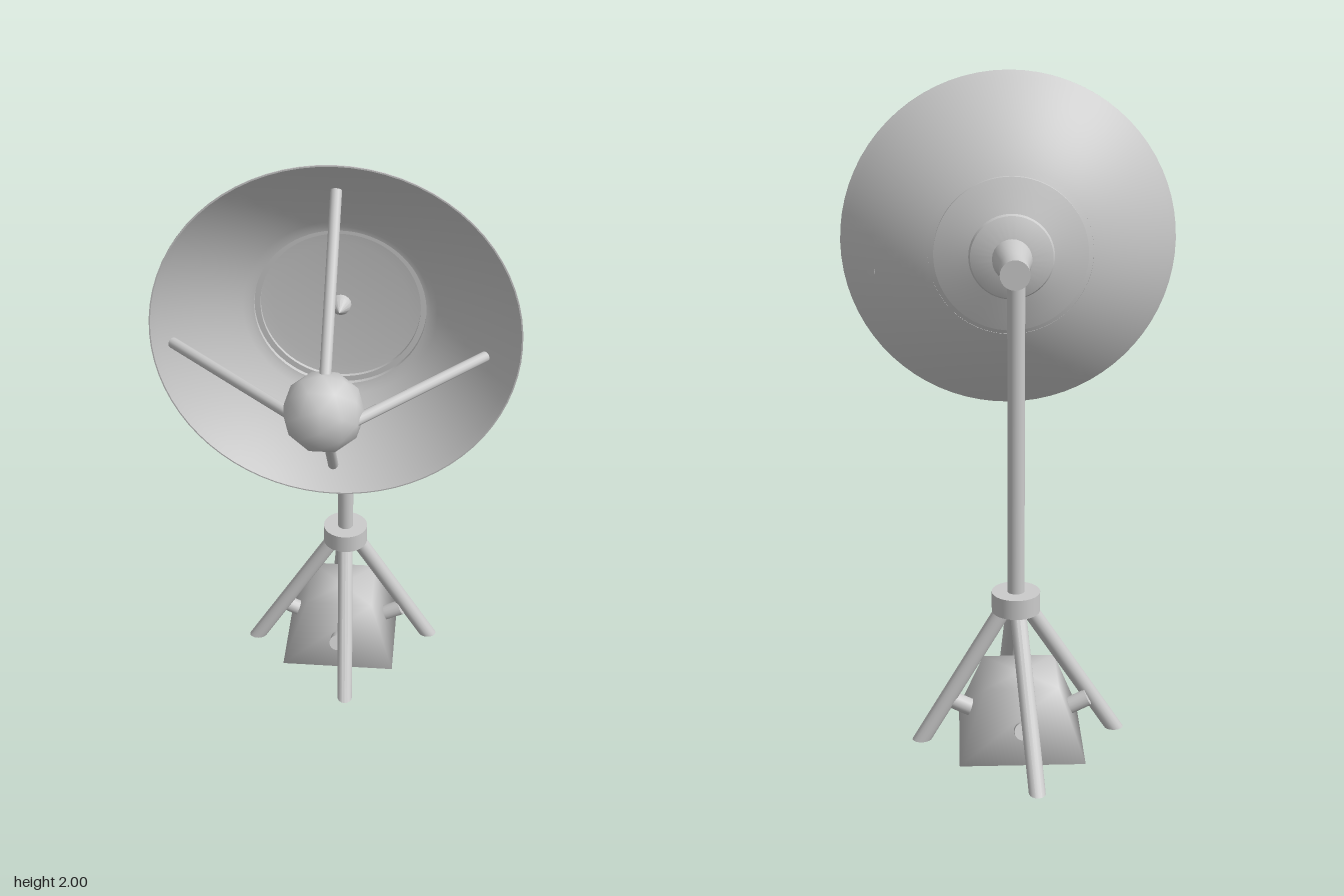
import * as THREE from 'three';
import { mergeVertices, toCreasedNormals } from 'three/addons/utils/BufferGeometryUtils.js';

const grey = new THREE.MeshStandardMaterial({ color: 0xcccccc });
const V = (x, y, z) => new THREE.Vector3(x, y, z);
const DISH_Y = 1.472;
const POLE = V(-0.005, 0, -0.248);

function add(parent, name, geometry, material = grey) {
  const mesh = new THREE.Mesh(geometry, material);
  mesh.name = name;
  parent.add(mesh);
  return mesh;
}

// Round bar between two points
function bar(parent, name, a, b, radius, sides = 16) {
  const mesh = add(parent, name, new THREE.CylinderGeometry(radius, radius, a.distanceTo(b), sides));
  mesh.position.copy(a).lerp(b, 0.5);
  mesh.quaternion.setFromUnitVectors(V(0, 1, 0), b.clone().sub(a).normalize());
  return mesh;
}

// Turned part lying along z, from [radius, z] pairs
function turned(parent, name, profile, segments) {
  const points = profile.map(([r, z]) => new THREE.Vector2(r, z));
  const geometry = toCreasedNormals(new THREE.LatheGeometry(points, segments), 0.45);
  const mesh = add(parent, name, geometry.rotateX(Math.PI / 2));
  mesh.position.y = DISH_Y;
  return mesh;
}

// Leg with level ends, leaning out from the collar to a foot on the ground
function leg(parent, name, footX, footZ) {
  const height = 0.43, dx = footX - POLE.x, dz = footZ - POLE.z;
  const reach = Math.hypot(dx, dz);
  const geometry = new THREE.CylinderGeometry(0.025, 0.025, height, 16);
  const p = geometry.attributes.position;
  for (let i = 0; i < p.count; i++) {
    const down = 0.5 - p.getY(i) / height;
    p.setX(i, p.getX(i) * 1.2 + THREE.MathUtils.lerp(0.035, reach, down));
  }
  geometry.computeVertexNormals();
  const mesh = add(parent, name, toCreasedNormals(geometry, 0.6));
  mesh.position.set(POLE.x, height / 2, POLE.z);
  mesh.rotation.y = Math.atan2(-dz, dx);
}

export function createModel() {
  const model = new THREE.Group();
  model.name = 'dishAntenna';

  // Reflector: stepped hub behind, parabolic shell, recessed disc inside
  const shell = [];
  for (let i = 0; i <= 14; i++) {
    const r = THREE.MathUtils.lerp(0.235, 0.528, i / 14);
    shell.push([r, 0.893 * r * r - 0.032]);
  }
  const inner = [];
  for (let i = 0; i <= 14; i++) {
    const r = THREE.MathUtils.lerp(0.524, 0.265, i / 14);
    inner.push([r, 0.893 * r * r - 0.024]);
  }
  turned(model, 'dish', [
    [0, -0.066], [0.07, -0.066], [0.125, -0.044], [0.13, -0.034], [0.2, -0.012], [0.235, 0],
    ...shell, [0.528, 0.221], ...inner,
    [0.252, 0.036], [0.252, 0.022], [0.235, 0.022], [0.235, 0.01], [0.2, 0.006], [0, 0.004],
  ], 72);
  turned(model, 'dishCentreCone', [[0.032, 0], [0.028, 0.02], [0, 0.06]], 16);

  // Arm carrying the dish
  turned(model, 'mountingArm', [
    [0, -0.295], [0.044, -0.295], [0.044, -0.2], [0.06, -0.095], [0.06, -0.06], [0, -0.06],
  ], 24);

  // Receiver ball and its four struts
  const ball = add(model, 'receiverBall', new THREE.IcosahedronGeometry(0.112, 1));
  ball.position.set(-0.003, 1.427, 0.525);
  [
    [V(0, 1.48, 0.537), V(0, 1.9, 0.153)],
    [V(-0.008, 1.36, 0.46), V(-0.01, 1.01, 0.162)],
    [V(-0.08, 1.428, 0.555), V(-0.47, 1.42, 0.18)],
    [V(0.08, 1.425, 0.565), V(0.43, 1.395, 0.138)],
  ].forEach(([a, b]) => bar(model, 'receiverStrut', a, b, 0.016, 12));

  // Pole and collar
  bar(model, 'pole', V(POLE.x, 0.42, POLE.z), V(POLE.x, 1.46, POLE.z), 0.026, 20);
  bar(model, 'collar', V(POLE.x, 0.42, POLE.z), V(POLE.x, 0.482, POLE.z), 0.074, 32);

  // Splayed legs
  leg(model, 'frontLeg', 0.02, 0.087);
  leg(model, 'backLeg', -0.053, -0.605);
  leg(model, 'leftLeg', 0.288, -0.274);
  leg(model, 'rightLeg', -0.315, -0.218);

  // Tapered base block with softly shaded edges
  const base = new THREE.Group();
  base.name = 'base';
  base.position.set(-0.018, 0, -0.257);
  model.add(base);
  let block = new THREE.CylinderGeometry(0.112 * Math.SQRT2, 0.19 * Math.SQRT2, 0.215, 4);
  block.rotateY(Math.PI / 4);
  block.deleteAttribute('normal');
  block.deleteAttribute('uv');
  block = mergeVertices(block, 1e-4);
  block.computeVertexNormals();
  add(base, 'baseBlock', block).position.y = 0.1075;

  // One peg on each sloping side
  for (let i = 0; i < 4; i++) {
    const turn = V(0, 1, 0), angle = (i * Math.PI) / 2;
    const a = V(0.12, 0.08, 0).applyAxisAngle(turn, angle);
    const b = V(0.21, 0.124, 0).applyAxisAngle(turn, angle);
    bar(base, 'basePeg', a, b, 0.026);
  }
  return model;
}
